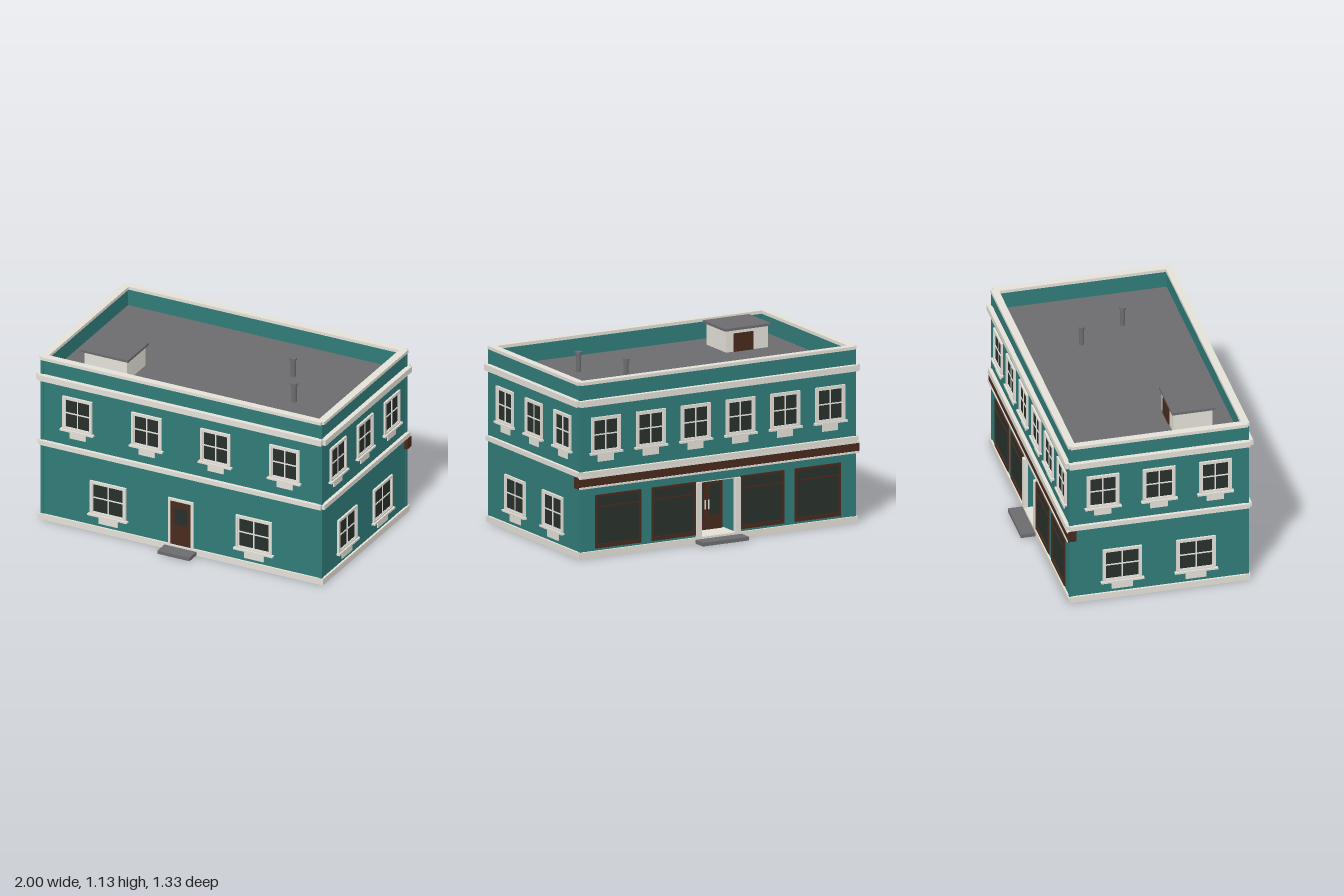
import * as THREE from 'three';

const mat = (name, color) => {
  const m = new THREE.MeshStandardMaterial({ color });
  m.name = name;
  return m;
};

export function createModel() {
  const root = new THREE.Group();
  root.name = 'building';
  const teal = mat('teal wall', 0x307c79);
  const trim = mat('pale stone trim', 0xe4e0d8);
  const sash = mat('white sash', 0xf2f0ec);
  const glass = mat('dark glass', 0x28302a);
  const brown = mat('dark brown wood', 0x482a1d);
  const grey = mat('roof grey', 0x6c6b6e);

  const WX = 0.968, WZ = 0.563; // wall half sizes
  const ROOF = 0.98, ENTRY_W = 0.125, ENTRY_TOP = 0.385, ENTRY_Z = -0.42;

  const add = (parent, name, geo, material) => {
    const m = new THREE.Mesh(geo, material);
    m.name = name;
    parent.add(m);
    return m;
  };
  // Box given by its min and max on each axis
  const box = (parent, name, material, x0, x1, y0, y1, z0, z1) => {
    const m = add(parent, name, new THREE.BoxGeometry(x1 - x0, y1 - y0, z1 - z0), material);
    m.position.set((x0 + x1) / 2, (y0 + y1) / 2, (z0 + z1) / 2);
    return m;
  };
  const points = list => list.map(p => new THREE.Vector2(...p));
  const rect = (C, x0, x1, y0, y1) => new C(points([[x0, y0], [x1, y0], [x1, y1], [x0, y1]]));
  const extrude = (shape, depth) => new THREE.ExtrudeGeometry(shape, { depth, bevelEnabled: false });

  // Horizontal ring around the building, with square notches cut from its corners
  const ring = (name, material, ox, oz, ix, iz, y0, y1, n = 0) => {
    const a = ox - n, b = oz - n;
    const s = n === 0 ? rect(THREE.Shape, -ox, ox, -oz, oz) : new THREE.Shape(points([
      [-a, -oz], [a, -oz], [a, -b], [ox, -b], [ox, b], [a, b],
      [a, oz], [-a, oz], [-a, b], [-ox, b], [-ox, -b], [-a, -b],
    ]));
    s.holes.push(rect(THREE.Path, -ix, ix, -iz, iz));
    const m = add(root, name, extrude(s, y1 - y0), material);
    m.rotation.x = -Math.PI / 2;
    m.position.y = y0;
  };
  // Upright rectangular frame, facing +z
  const frame = (parent, name, material, x0, x1, y0, y1, t, depth, tBottom = t) => {
    const s = rect(THREE.Shape, x0, x1, y0, y1);
    s.holes.push(rect(THREE.Path, x0 + t, x1 - t, y0 + tBottom, y1 - t));
    return add(parent, name, extrude(s, depth), material);
  };
  // Group whose local +z points out of a wall
  const onWall = (name, side, along) => {
    const g = new THREE.Group();
    g.name = name;
    if (side === 'front') g.position.set(along, 0, WZ);
    if (side === 'back') { g.position.set(along, 0, -WZ); g.rotation.y = Math.PI; }
    if (side === 'left') { g.position.set(WX, 0, along); g.rotation.y = Math.PI / 2; }
    if (side === 'right') { g.position.set(-WX, 0, along); g.rotation.y = -Math.PI / 2; }
    root.add(g);
    return g;
  };

  // Walls: lower storey with an entrance notch in the back, then the upper storey
  const plan = new THREE.Shape(points([
    [-WX, -WZ], [WX, -WZ], [WX, WZ], [ENTRY_W, WZ], [ENTRY_W, -ENTRY_Z],
    [-ENTRY_W, -ENTRY_Z], [-ENTRY_W, WZ], [-WX, WZ],
  ]));
  const lower = add(root, 'lowerWalls', extrude(plan, ENTRY_TOP - 0.01), teal);
  lower.rotation.x = -Math.PI / 2;
  lower.position.y = 0.01;
  box(root, 'upperWalls', teal, -WX, WX, ENTRY_TOP, ROOF - 0.015, -WZ, WZ);
  ring('parapet', teal, WX, WZ, 0.94, 0.533, ROOF - 0.015, 1.09);
  box(root, 'roof', grey, -0.945, 0.945, ROOF - 0.01, ROOF, -0.54, 0.54);
  box(root, 'underside', trim, -0.972, 0.972, 0.002, 0.01, -0.568, 0.568);
  for (const sx of [-1, 1]) for (const sz of [-1, 1]) {
    const post = box(root, 'cornerPost', teal, -0.011, 0.011, 0.01, 1.09, -0.011, 0.011);
    post.position.x = sx * 0.961;
    post.position.z = sz * 0.556;
  }

  // Stone courses
  ring('plinth', trim, 0.982, 0.575, 0.96, 0.555, 0, 0.04);
  ring('storeyBand', trim, 0.99, 0.586, 0.955, 0.55, 0.515, 0.545, 0.018);
  ring('cornice', trim, 1.0, 0.593, 0.955, 0.55, 0.957, 0.995, 0.022);
  ring('coping', trim, 0.982, 0.573, 0.933, 0.526, 1.09, 1.11, 0.015);

  // Four-pane window with casing, sill and apron
  const makeWindow = (side, along, w, y0, y1, apronW, apronY) => {
    const g = onWall('window', side, along);
    const h = w / 2, t = 0.016, s = 0.006, ym = (y0 + y1) / 2;
    frame(g, 'casing', trim, -h, h, y0, y1, t, 0.013, 0.01);
    frame(g, 'sash', sash, -h + t, h - t, y0 + 0.01, y1 - t, s, 0.008);
    box(g, 'pane', glass, -h + t, h - t, y0 + 0.005, y1 - t, 0, 0.003);
    box(g, 'verticalBar', sash, -0.004, 0.004, y0 + 0.01, y1 - t, 0, 0.007);
    box(g, 'horizontalBar', sash, -h + t, h - t, ym - 0.004, ym + 0.004, 0, 0.007);
    box(g, 'sill', trim, -h - 0.012, h + 0.012, y0 - 0.012, y0, 0, 0.023);
    box(g, 'apron', trim, -apronW / 2, apronW / 2, apronY, y0 - 0.012, 0, 0.007);
  };
  const upper = (side, a) => makeWindow(side, a, 0.205, 0.658, 0.88, 0.11, 0.598);
  const ground = (side, a) => makeWindow(side, a, 0.248, 0.122, 0.345, 0.133, 0.06);
  for (const s of [-1, 1]) {
    for (const x of [0.238, 0.715]) upper('front', s * x);
    for (const x of [0.158, 0.473, 0.79]) upper('back', s * x);
    ground('front', s * 0.503);
  }
  for (const side of ['left', 'right']) {
    for (const z of [-0.355, 0, 0.355]) upper(side, z);
    for (const z of [-0.233, 0.233]) ground(side, z);
  }

  // Front door
  const door = onWall('frontDoor', 'front', 0);
  frame(door, 'doorCasing', trim, -0.087, 0.087, 0.035, 0.355, 0.016, 0.014, 0.005);
  box(door, 'doorLeaf', brown, -0.072, 0.072, 0.04, 0.34, 0, 0.006);
  box(door, 'doorPane', glass, -0.043, 0.043, 0.18, 0.292, 0, 0.009);
  box(root, 'frontStep', grey, -0.11, 0.11, 0.004, 0.027, 0.57, 0.667);
  box(root, 'backStep', grey, -0.163, 0.163, 0.004, 0.027, -0.667, -0.57);

  // Shop windows along the back
  for (const [x, w] of [[-0.703, 0.32], [-0.312, 0.31], [0.312, 0.31], [0.703, 0.32]]) {
    const g = onWall('shopWindow', 'back', x);
    const h = w / 2;
    frame(g, 'shopFrame', brown, -h, h, 0.055, 0.39, 0.014, 0.01, 0.025);
    box(g, 'shopPane', glass, -h + 0.01, h - 0.01, 0.06, 0.385, 0, 0.003);
    box(g, 'transom', brown, -h + 0.01, h - 0.01, 0.308, 0.318, 0, 0.008);
  }

  // Recessed shop entrance with a double door
  const entry = onWall('shopEntrance', 'back', 0);
  const back = -(WZ + ENTRY_Z); // local depth of the recess
  for (const s of [-1, 1]) {
    box(entry, 'entryPilaster', trim, -0.018, 0.018, 0.04, ENTRY_TOP, -0.012, 0.016).position.x = s * 0.138;
  }
  box(entry, 'entryFloor', trim, -ENTRY_W, ENTRY_W, 0.011, 0.041, back, 0);
  box(entry, 'entryCeiling', trim, -ENTRY_W, ENTRY_W, ENTRY_TOP - 0.006, ENTRY_TOP, back, -0.001);
  for (const s of [-1, 1]) {
    const leaf = new THREE.Group();
    leaf.name = 'shopDoorLeaf';
    leaf.position.set(s * 0.056, 0, back);
    entry.add(leaf);
    box(leaf, 'leafPanel', brown, -0.055, 0.055, 0.041, 0.35, 0, 0.008);
    box(leaf, 'leafPane', glass, -0.033, 0.033, 0.13, 0.325, 0, 0.011);
    box(leaf, 'doorHandle', sash, -0.003, 0.003, 0.17, 0.23, 0, 0.016).position.x = -s * 0.043;
  }

  // Fascia above the shop windows
  box(root, 'fascia', brown, -0.99, 0.99, 0.441, 0.512, -0.58, -0.527);
  box(root, 'fasciaLowerMould', trim, -0.988, 0.988, 0.44, 0.452, -0.585, -0.565);
  box(root, 'fasciaUpperMould', trim, -0.988, 0.988, 0.503, 0.514, -0.585, -0.565);

  // Roof hut and vent pipes
  box(root, 'hutWalls', trim, -0.76, -0.465, ROOF, 1.116, 0.145, 0.39);
  box(root, 'hutRoof', grey, -0.775, -0.45, 1.116, 1.132, 0.133, 0.407);
  box(root, 'hutDoor', brown, -0.655, -0.515, ROOF, 1.095, 0.139, 0.146);
  for (const [x, z] of [[0.405, -0.14], [0.568, 0.16]]) {
    const g = new THREE.Group();
    g.name = 'ventPipe';
    g.position.set(x, ROOF, z);
    root.add(g);
    add(g, 'pipe', new THREE.CylinderGeometry(0.016, 0.016, 0.115, 16), grey).position.y = 0.0575;
    add(g, 'pipeCap', new THREE.CylinderGeometry(0.022, 0.022, 0.015, 16), grey).position.y = 0.12;
  }
  return root;
}
